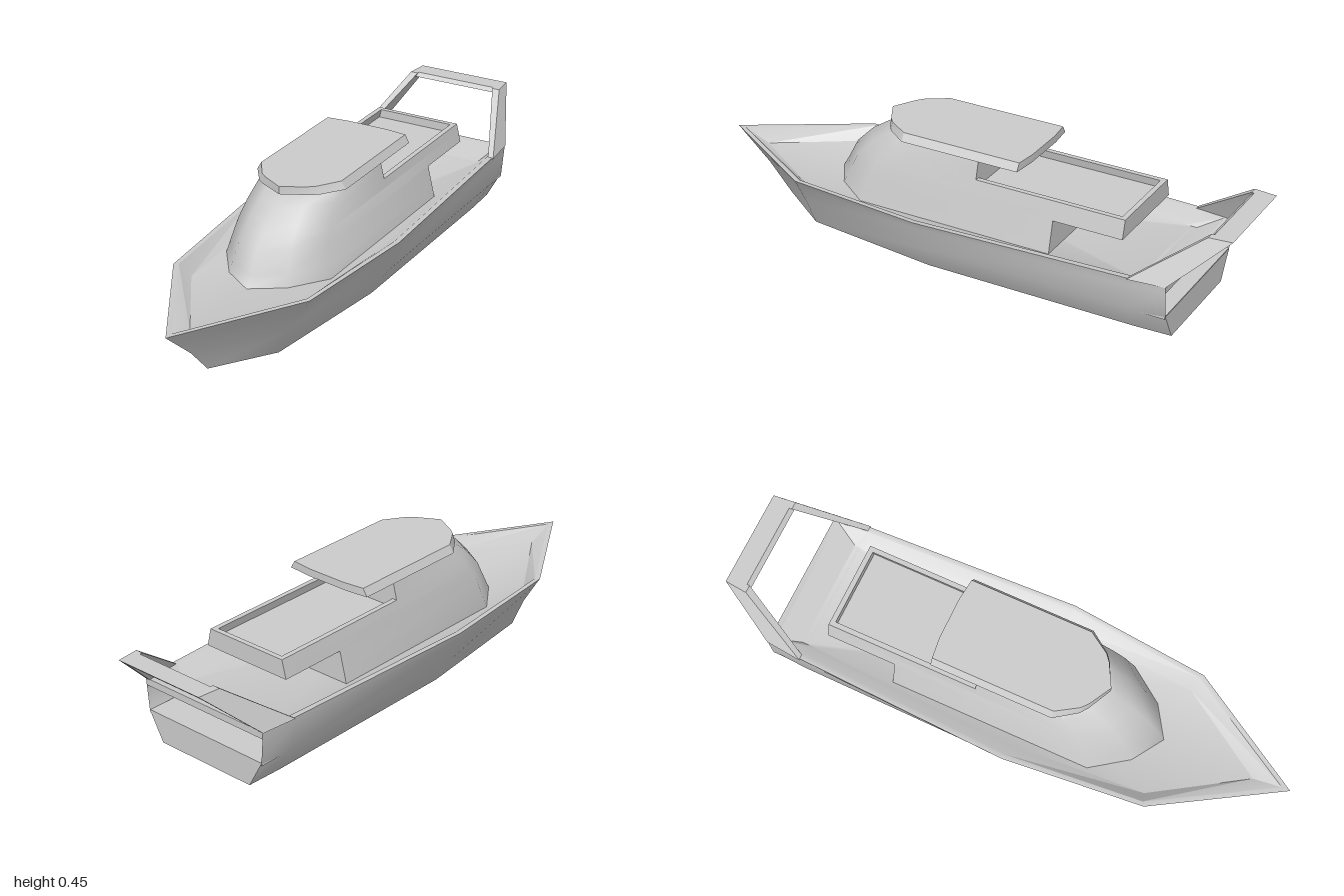
import * as THREE from 'three';
import { toCreasedNormals } from 'three/addons/utils/BufferGeometryUtils.js';

const material = new THREE.MeshStandardMaterial({ color: 0xcccccc, side: THREE.DoubleSide });

// Skins a stack of closed loops (counter-clockwise from above) and caps both ends.
// skip(layer, edge) leaves a panel open.
function loft(name, loops, crease = 0.7, skip = () => false) {
  const pos = [];
  const tri = (a, b, c) => pos.push(...a, ...b, ...c);
  const n = loops[0].length;
  for (let l = 0; l < loops.length - 1; l++) {
    for (let i = 0; i < n; i++) {
      if (skip(l, i)) continue;
      const j = (i + 1) % n, lo = loops[l], hi = loops[l + 1];
      tri(lo[i], lo[j], hi[j]);
      tri(lo[i], hi[j], hi[i]);
    }
  }
  const cap = (loop, up) => {
    const c = [0, 1, 2].map(k => loop.reduce((s, p) => s + p[k], 0) / n);
    loop.forEach((p, i) => {
      const q = loop[(i + 1) % n];
      if (up) tri(c, p, q); else tri(c, q, p);
    });
  };
  cap(loops[0], false);
  cap(loops[loops.length - 1], true);
  const geo = new THREE.BufferGeometry();
  geo.setAttribute('position', new THREE.Float32BufferAttribute(pos, 3));
  const mesh = new THREE.Mesh(toCreasedNormals(geo, crease), material);
  mesh.name = name;
  return mesh;
}

// Full symmetric loop at height y from half an outline [x, z], bow to stern
function outline(y, half) {
  const right = half.map(([x, z]) => [x, y, z]);
  const left = half.slice(1).reverse().map(([x, z]) => [-x, y, z]);
  return [...right, ...left];
}

const mirrored = loop => loop.map(([x, y, z]) => [-x, y, z]).reverse();

function box(name, w, h, d, x, y, z) {
  const mesh = new THREE.Mesh(new THREE.BoxGeometry(w, h, d), material);
  mesh.position.set(x, y, z);
  mesh.name = name;
  return mesh;
}

function pair(name, loops) {
  return [loft(name + 'Left', loops, 0.5), loft(name + 'Right', loops.map(mirrored), 0.5)];
}

export function createModel() {
  const boat = new THREE.Group();
  boat.name = 'motorYacht';

  // Hull, rim, sloped bulwark and deck, with an opening above the lower transom
  const hull = [
    outline(0, [[0, 0.78], [0.14, 0.58], [0.2, 0.08], [0.2, -0.69], [0.195, -0.82]]),
    outline(0.1, [[0, 0.87], [0.18, 0.59], [0.262, 0.08], [0.258, -0.69], [0.25, -0.82]]),
    outline(0.19, [[0, 0.972], [0.238, 0.582], [0.292, 0.08], [0.267, -0.69], [0.258, -0.82]]),
    outline(0.215, [[0, 1], [0.255, 0.58], [0.303, 0.08], [0.27, -0.69], [0.26, -0.82]]),
    outline(0.215, [[0, 0.97], [0.24, 0.57], [0.285, 0.08], [0.25, -0.69], [0.24, -0.8]]),
    outline(0.175, [[0, 0.87], [0.2, 0.56], [0.235, 0.08], [0.2, -0.68], [0.2, -0.72]]),
  ];
  boat.add(loft('hull', hull, 0.7, (layer, edge) => layer === 1 && edge === 4));

  // Recess behind the transom opening
  boat.add(box('sternPlatform', 0.5, 0.01, 0.12, 0, 0.095, -0.758));
  boat.add(box('sternBulkhead', 0.5, 0.08, 0.01, 0, 0.135, -0.7));

  // Cabin with raked front, rear overhang and a step down behind the roof
  const width = y => 0.2 - 0.24 * (y - 0.175);
  const level = (y, front, shoulder, back) => {
    const w = width(y);
    return outline(y, [[0, front], [w * 0.55, front - (front - shoulder) * 0.36],
      [w, shoulder], [w, back]]);
  };
  boat.add(loft('cabin', [
    level(0.175, 0.545, 0.35, -0.375),
    level(0.215, 0.522, 0.34, -0.375),
    level(0.285, 0.485, 0.32, -0.375),
    level(0.285, 0.485, 0.32, -0.625),
    level(0.32, 0.45, 0.3, -0.625),
    level(0.32, 0.45, 0.3, -0.08),
    level(0.35, 0.42, 0.28, -0.08),
    level(0.39, 0.36, 0.24, -0.08),
    level(0.425, 0.3, 0.2, -0.08),
  ], 1.2));

  // Coaming around the upper rear deck
  const wall = y => {
    const w = width(y);
    return [[w - 0.018, y, -0.08], [w, y, -0.08], [w, y, -0.625], [w - 0.018, y, -0.625]];
  };
  boat.add(...pair('coaming', [wall(0.32), wall(0.35)]));
  boat.add(box('coamingRear', 0.3, 0.03, 0.018, 0, 0.335, -0.616));

  // Roof slab with bevelled sides
  const roof = (y, w) => outline(y, [[0, 0.338], [w * 0.52, 0.295], [w * 0.68, 0.275],
    [w, 0.2], [w, -0.238], [w * 0.5, -0.247]]);
  boat.add(loft('roof', [roof(0.424, 0.168), roof(0.451, 0.152)], 0.5));

  // Raked stern arch: two legs and a crossbar
  const foot = [[0.255, 0.213, -0.69], [0.275, 0.213, -0.69], [0.262, 0.213, -0.82], [0.242, 0.213, -0.82]];
  const head = [[0.155, 0.383, -0.92], [0.183, 0.383, -0.92], [0.175, 0.383, -1], [0.152, 0.383, -1]];
  boat.add(...pair('archLeg', [foot, head]));
  const bar = (y, back, front) => [[-0.175, y, front], [0.175, y, front], [0.175, y, back], [-0.175, y, back]];
  boat.add(loft('archCrossbar', [bar(0.37, -0.987, -0.915), bar(0.383, -1, -0.93)], 0.5));

  return boat;
}
